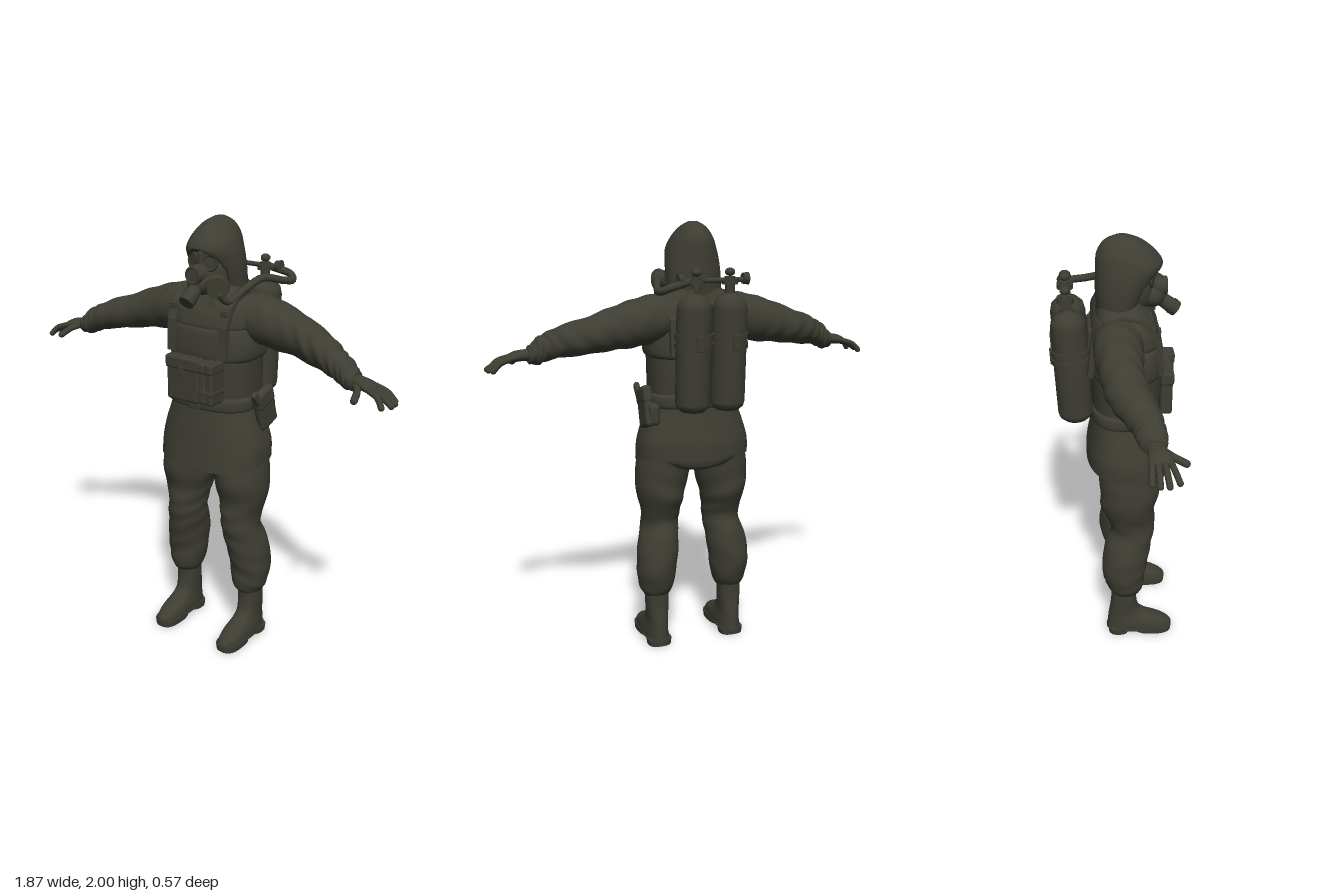
import * as THREE from 'three';
import { RoundedBoxGeometry } from 'three/addons/geometries/RoundedBoxGeometry.js';
import { mergeGeometries } from 'three/addons/utils/BufferGeometryUtils.js';

const V = (x, y, z) => new THREE.Vector3(x, y, z);

// Smooth interpolation through rows of numbers, t in 0..1
function sample(rows, t) {
  const f = t * (rows.length - 1), i = Math.min(Math.floor(f), rows.length - 2), u = f - i;
  const at = k => rows[Math.max(0, Math.min(rows.length - 1, k))];
  const [p, a, b, n] = [at(i - 1), at(i), at(i + 1), at(i + 2)];
  return a.map((_, k) => {
    const m0 = (b[k] - p[k]) / 2, m1 = (n[k] - a[k]) / 2, d = b[k] - a[k];
    return a[k] + m0 * u + (3 * d - 2 * m0 - m1) * u * u + (m0 + m1 - 2 * d) * u * u * u;
  });
}

// Skin over oval rings [cx, cy, cz, radiusA, radiusB], stacked along y or x
function loft(rings, { axis = 'y', seg = 32, rows = 30, power = 1, fold, deform } = {}) {
  const pos = [], idx = [], v = V();
  const sp = c => Math.sign(c) * Math.pow(Math.abs(c), power);
  const ring = (t, shrink) => {
    const [cx, cy, cz, a, b] = sample(rings, t);
    for (let i = 0; i < seg; i++) {
      const th = i / seg * Math.PI * 2;
      const k = shrink * (1 + (fold ? fold(t, th) : 0));
      const c = a * k * sp(Math.cos(th)), s = b * k * sp(Math.sin(th));
      if (axis === 'y') v.set(cx + c, cy, cz + s); else v.set(cx, cy + c, cz - s);
      if (deform) deform(v);
      pos.push(v.x, v.y, v.z);
    }
  };
  const list = [[0, 0.001], [0, 1]];
  for (let j = 0; j <= rows; j++) list.push([j / rows, 1]);
  list.push([1, 1], [1, 0.001]);
  list.forEach(([t, k]) => ring(t, k));
  for (let j = 0; j < list.length - 1; j++) {
    if (j === 1 || j === list.length - 3) continue; // doubled rings keep the cap edges sharp
    for (let i = 0; i < seg; i++) {
      const a = j * seg + i, b = j * seg + (i + 1) % seg;
      idx.push(a, a + seg, b, b, a + seg, b + seg);
    }
  }
  const g = new THREE.BufferGeometry();
  g.setAttribute('position', new THREE.Float32BufferAttribute(pos, 3));
  g.setIndex(idx);
  g.computeVertexNormals();
  return g;
}

// Copy of a geometry reflected across x = 0
function mirrored(g) {
  const m = g.index ? g.toNonIndexed() : g.clone();
  for (const name of ['position', 'normal']) {
    const a = m.attributes[name];
    for (let i = 0; i < a.count; i += 3) {
      const p = [0, 2, 1].map(k => [-a.getX(i + k), a.getY(i + k), a.getZ(i + k)]);
      p.forEach((q, k) => a.setXYZ(i + k, ...q));
    }
  }
  return m;
}

const box = (w, h, d, x, y, z, r = 0.012) => new RoundedBoxGeometry(w, h, d, 2, r).translate(x, y, z);
const ball = (x, y, z, a, b, c) => new THREE.SphereGeometry(1, 20, 14).scale(a, b, c).translate(x, y, z);

// Round tube with domed ends
const tube = (pts, r, n = 10, s = 10) => mergeGeometries([
  new THREE.TubeGeometry(new THREE.CatmullRomCurve3(pts.map(p => V(...p))), n, r, s),
  ball(...pts[0], r, r, r), ball(...pts[pts.length - 1], r, r, r),
]);

// Cylinder pointing along a direction
function rod(r0, r1, len, at, dir = [0, 1, 0], seg = 20) {
  const q = new THREE.Quaternion().setFromUnitVectors(V(0, 1, 0), V(...dir).normalize());
  return new THREE.CylinderGeometry(r1, r0, len, seg).applyQuaternion(q).translate(...at);
}

export function createModel() {
  const model = new THREE.Group();
  const drab = new THREE.MeshStandardMaterial({ color: 0x3d3d33, side: THREE.DoubleSide });
  drab.name = 'dark olive drab';
  const add = (name, geo, both = false) => {
    const put = (n, g) => { const m = new THREE.Mesh(g, drab); m.name = n; model.add(m); };
    put(both ? name + 'Left' : name, geo);
    if (both) put(name + 'Right', mirrored(geo));
  };

  // Jacket body and flared skirt, its hem lower at the front
  add('jacketBody', loft([
    [0, 1.1, .04, .19, .135], [0, 1.2, .045, .195, .14], [0, 1.35, .045, .195, .145], [0, 1.5, .04, .2, .15],
    [0, 1.6, .035, .195, .14], [0, 1.66, .03, .175, .12], [0, 1.71, .02, .12, .095], [0, 1.74, .02, .09, .08],
  ], { seg: 40, power: .75 }));
  const slope = v => { if (v.y < 1.08) v.y -= (v.z - .05) * .14 * (1.08 - v.y) / .16; };
  add('jacketSkirt', loft([
    [0, .92, .05, .267, .188], [0, 1.0, .045, .264, .18], [0, 1.08, .045, .243, .168],
    [0, 1.16, .045, .215, .155], [0, 1.21, .045, .206, .15],
  ], { seg: 48, power: .82, deform: slope }));
  add('trouserSeat', loft([[0, .875, -.01, .05, .06], [0, .89, -.008, .13, .1], [0, .92, .01, .205, .13],
    [0, .95, .03, .235, .15]], { seg: 40, power: .85 }));
  add('skirtSeam', box(.006, .24, .006, 0, 0, 0, .002).rotateX(-.13).translate(-.03, 1.04, .219));

  // Vest: lower wrap, padded chest band, yoke
  add('vestWrap', loft([[0, 1.22, .045, .206, .152], [0, 1.32, .045, .208, .157], [0, 1.42, .045, .21, .157]],
    { seg: 40, power: .75, rows: 8 }));
  add('chestPad', loft([[0, 1.395, .042, .2, .15], [0, 1.415, .042, .224, .163], [0, 1.47, .042, .226, .164],
    [0, 1.53, .04, .213, .16], [0, 1.55, .04, .195, .148]], { seg: 40, power: .75 }));
  add('vestYoke', loft([[0, 1.54, .04, .2, .152], [0, 1.56, .038, .207, .155], [0, 1.61, .034, .202, .146],
    [0, 1.65, .03, .186, .128], [0, 1.67, .03, .165, .11]], { seg: 40, power: .75 }));
  add('belt', loft([[0, 1.172, .045, .205, .15], [0, 1.183, .045, .221, .164], [0, 1.227, .045, .221, .164],
    [0, 1.238, .045, .205, .15]], { seg: 40, power: .75, rows: 12 }));
  add('beltBuckle', box(.06, .05, .02, 0, 1.2, .205, .006));

  // Shoulder straps running over the shoulder from chest to back
  const line = [[.2, 1.42], [.192, 1.56], [.16, 1.64], [.1, 1.68], [.02, 1.695], [-.06, 1.67], [-.115, 1.58], [-.13, 1.42]];
  const inner = line.map(([z, y]) => [.035 + (z - .035) * .85, 1.4 + (y - 1.4) * .93]).reverse();
  const strap = new THREE.Shape([...line, ...inner].map(([z, y]) => new THREE.Vector2(-z, y)));
  add('shoulderStrap', new THREE.ExtrudeGeometry(strap, { depth: .045, bevelEnabled: false })
    .rotateY(Math.PI / 2).translate(.115, 0, 0), true);
  add('chestBuckle', box(.035, .03, .015, .137, 1.62, .176, .004), true);
  add('collarFlap', box(.06, .05, .02, 0, 0, 0, .008).rotateZ(.5).rotateX(-.4).translate(.05, 1.645, .15), true);

  // Front pouches
  add('largePouch', box(.175, .19, .055, -.043, 1.305, .217));
  add('largePouchFlap', box(.185, .06, .062, -.043, 1.385, .219));
  add('pouchTab', box(.025, .04, .008, -.043, 1.35, .249, .003));
  for (const x of [.079, .119]) {
    add('smallPouch', box(.037, .18, .095, x, 1.315, .22));
    add('smallPouchFlap', box(.041, .05, .1, x, 1.39, .222));
    add('smallPouchLoop', box(.041, .02, .1, x, 1.28, .22, .005));
  }

  // Sidearm holster on the left hip
  add('holster', box(.04, .19, .125, 0, 0, 0, .018).rotateX(.3).translate(.24, 1.175, .01));
  add('holsterFlap', box(.046, .08, .13, 0, 0, 0, .018).rotateX(.3).translate(.24, 1.225, .025));
  add('holsterGrip', box(.026, .1, .035, 0, 0, 0).rotateX(.7).translate(.25, 1.23, .085));
  add('holsterPouch', box(.05, .1, .07, .22, 1.15, -.045, .02));

  // Hood with a recessed face opening, its edge sweeping back towards the chin
  add('hood', loft([
    [0, 1.62, .01, .12, .09], [0, 1.68, .008, .123, .093], [0, 1.76, .023, .126, .113], [0, 1.83, .043, .122, .132],
    [0, 1.88, .055, .112, .143], [0, 1.93, .043, .092, .124], [0, 1.975, .03, .058, .082], [0, 2.0, .025, .018, .03],
  ], {
    seg: 72, rows: 56, deform: v => {
      const d = (v.x / .095) ** 2 + ((v.y - 1.76) / .118) ** 2;
      if (v.z > .04 && d < 1) v.z -= .05 * Math.min(1, (1 - d) * 5);
    },
  }));

  // Breathing mask
  add('maskFace', ball(0, 1.765, .07, .086, .112, .095));
  for (const s of [-1, 1]) {
    add('eyepieceRim', new THREE.TorusGeometry(.032, .008, 8, 24).rotateY(s * .3).translate(s * .042, 1.822, .152));
    add('eyepieceLens', rod(.032, .028, .014, [s * .042, 1.822, .149], [s * .3, 0, 1]));
  }
  add('maskNose', box(.03, .1, .05, 0, 1.82, .147));
  add('maskSnout', ball(0, 1.735, .155, .06, .055, .06));
  add('speechPort', rod(.046, .04, .05, [0, 1.772, .19], [0, .05, 1]));
  add('speechPortRing', new THREE.TorusGeometry(.034, .006, 8, 24).translate(0, 1.773, .214));
  add('exhaleValve', rod(.03, .034, .09, [0, 1.69, .225], [0, -.6, .8]));
  add('exhaleValveCap', rod(.036, .034, .025, [0, 1.672, .25], [0, -.6, .8]));
  add('filter', rod(.04, .05, .06, [.095, 1.735, .17], [.6, -.1, .7]));
  add('filterCap', rod(.053, .046, .02, [.112, 1.732, .19], [.6, -.1, .7]));
  add('filterJoint', rod(.025, .025, .08, [.05, 1.74, .145], [1, 0, .3]));
  add('airHose', tube([[.115, 1.70, .18], [.13, 1.665, .14], [.16, 1.71, .05], [.19, 1.745, -.03], [.228, 1.72, -.14],
    [.235, 1.712, -.2], [.2, 1.73, -.235], [.12, 1.75, -.222]], .017, 50));

  // Twin air tanks with bands, valves and manifold
  const profile = [[0, -.26], [.055, -.257], [.073, -.24], [.078, -.22], [.078, .19], [.07, .225], [.045, .25],
    [.02, .26], [.02, .28], [0, .28]].map(p => new THREE.Vector2(...p));
  const hang = g => g.rotateX(-.057).translate(.083, 1.44, -.197);
  add('airTank', hang(new THREE.LatheGeometry(profile, 32)), true);
  for (const y of [.035, .075]) add('tankBand', hang(rod(.084, .084, .028, [0, y, 0], [0, 1, 0], 32)), true);
  add('tankBandClip', hang(box(.03, .07, .02, 0, .055, -.08, .004)), true);
  add('tankValve', rod(.02, .024, .07, [.078, 1.735, -.217]), true);
  add('valveCollar', rod(.036, .036, .025, [.078, 1.75, -.217]), true);
  add('valveKnob', ball(.078, 1.79, -.218, .022, .018, .022), true);
  add('valveWheel', rod(.024, .028, .025, [.15, 1.76, -.217], [1, 0, 0], 10), true);
  add('manifold', rod(.011, .011, .29, [0, 1.755, -.217], [1, 0, 0]));
  add('backPlate', box(.17, .25, .025, 0, 1.49, -.115));
  add('tankBracket', box(.12, .05, .1, 0, 1.495, -.155));

  // Sleeves with cloth folds growing towards the cuff
  add('sleeve', loft([
    [.1, 1.59, 0, .09, .1], [.2, 1.577, 0, .108, .108], [.3, 1.558, 0, .106, .1], [.4, 1.537, .006, .094, .09],
    [.5, 1.51, .026, .082, .09], [.6, 1.487, .065, .071, .078], [.655, 1.468, .088, .064, .066],
    [.69, 1.452, .098, .062, .06], [.735, 1.43, .108, .046, .05], [.75, 1.427, .11, .036, .04],
  ], { axis: 'x', rows: 70, fold: (t, a) => (.01 + .045 * t) * Math.sin(t * 50 + 2.5 * Math.sin(a * 2 + t * 6)) }), true);
  add('cuff', loft([[.69, 1.452, .1, .055, .055], [.698, 1.448, .1, .064, .062], [.712, 1.441, .103, .06, .06],
    [.72, 1.437, .104, .05, .05]], { axis: 'x', rows: 9 }), true);

  // Gloved hands
  add('palm', loft([[.73, 1.428, .11, .027, .036], [.77, 1.426, .118, .025, .039], [.81, 1.42, .125, .023, .047],
    [.845, 1.408, .127, .016, .044]], { axis: 'x', rows: 12, seg: 20 }), true);
  for (const [z, tx, tz] of [[.09, .915, .085], [.113, .93, .115], [.137, .932, .15], [.16, .91, .19]]) {
    add('finger', tube([[.825, 1.416, z], [.875, 1.398, (z + tz) / 2], [tx - .008, 1.367, tz]], .013), true);
  }
  add('thumb', tube([[.755, 1.422, .135], [.785, 1.408, .175], [.80, 1.385, .225]], .015), true);

  // Baggy trousers with uneven folds
  add('trouserLeg', loft([
    [.125, 1.0, .045, .122, .14], [.135, .92, .05, .13, .138], [.152, .82, .056, .124, .136], [.156, .73, .05, .107, .124],
    [.155, .66, .066, .092, .108], [.157, .6, .07, .088, .103], [.168, .53, .05, .094, .11], [.182, .44, .035, .097, .108],
    [.187, .36, .03, .092, .1], [.187, .29, .038, .08, .088], [.187, .25, .038, .06, .066],
  ], {
    rows: 80, seg: 40,
    fold: (t, a) => Math.min(1, t * 4) * (.015 * Math.sin(t * 45 + 3 * Math.sin(a + 1 + t * 5)) + .012 * Math.sin(3 * a + t * 23)),
  }), true);

  // Boots with heel and sole
  add('boot', loft([
    [.187, .02, .105, .056, .158], [.187, .045, .107, .059, .158], [.187, .075, .09, .056, .138], [.187, .105, .055, .05, .1],
    [.187, .14, .034, .05, .073], [.187, .2, .03, .054, .062], [.187, .27, .03, .055, .062],
  ], { power: .85, rows: 24 }), true);
  const pad = (z, r) => loft([[.187, 0, z, .056, r], [.187, .03, z, .059, r + .004]], { rows: 2, power: .75 });
  add('bootHeel', pad(.005, .05), true);
  add('bootSole', pad(.175, .09), true);
  add('bootWelt', loft([[.187, .024, .107, .062, .162], [.187, .036, .107, .062, .162]], { rows: 2, power: .8 }), true);

  return model;
}
